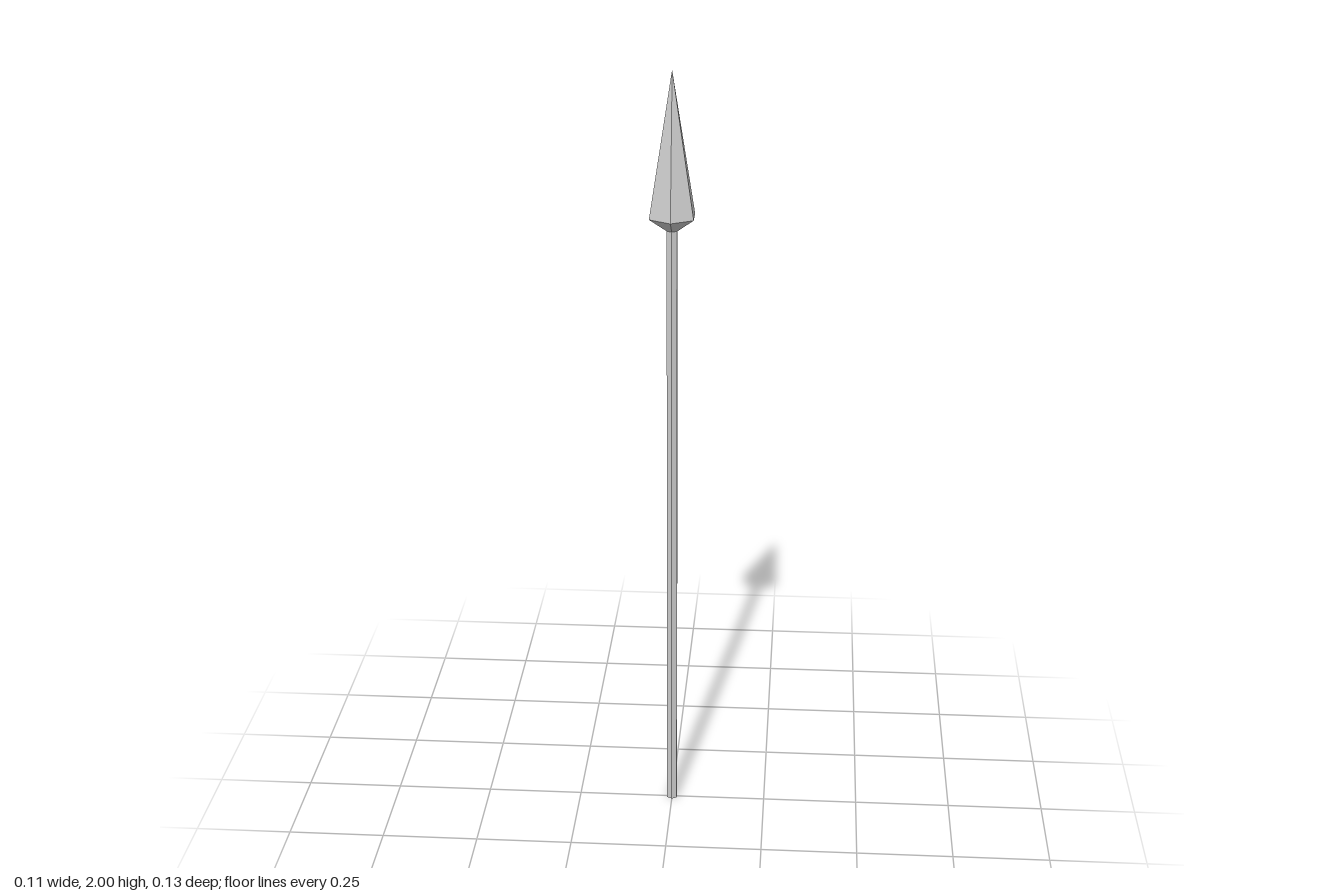
import * as THREE from 'three';

const SIDES = 6;
const material = new THREE.MeshStandardMaterial({ color: 0xcccccc, flatShading: true });

// Six-sided tapered section standing between two heights, corners on the z axis
function section(name, bottomRadius, topRadius, y0, y1, open = false) {
  const geometry = new THREE.CylinderGeometry(topRadius, bottomRadius, y1 - y0, SIDES, 1, open);
  const mesh = new THREE.Mesh(geometry, material);
  mesh.name = name;
  mesh.position.y = (y0 + y1) / 2;
  return mesh;
}

export function createModel() {
  const spear = new THREE.Group();
  spear.name = 'spear';

  // Long slim pole, capped at the foot
  spear.add(section('shaft', 0.015, 0.015, 0, 1.61));

  // Head: short flare out of the shaft, then a long taper to the tip
  const head = new THREE.Group();
  head.name = 'spearhead';
  head.add(section('headFlare', 0.015, 0.063, 1.603, 1.638, true));
  head.add(section('headBlade', 0.063, 0, 1.638, 2, true));
  spear.add(head);

  return spear;
}
